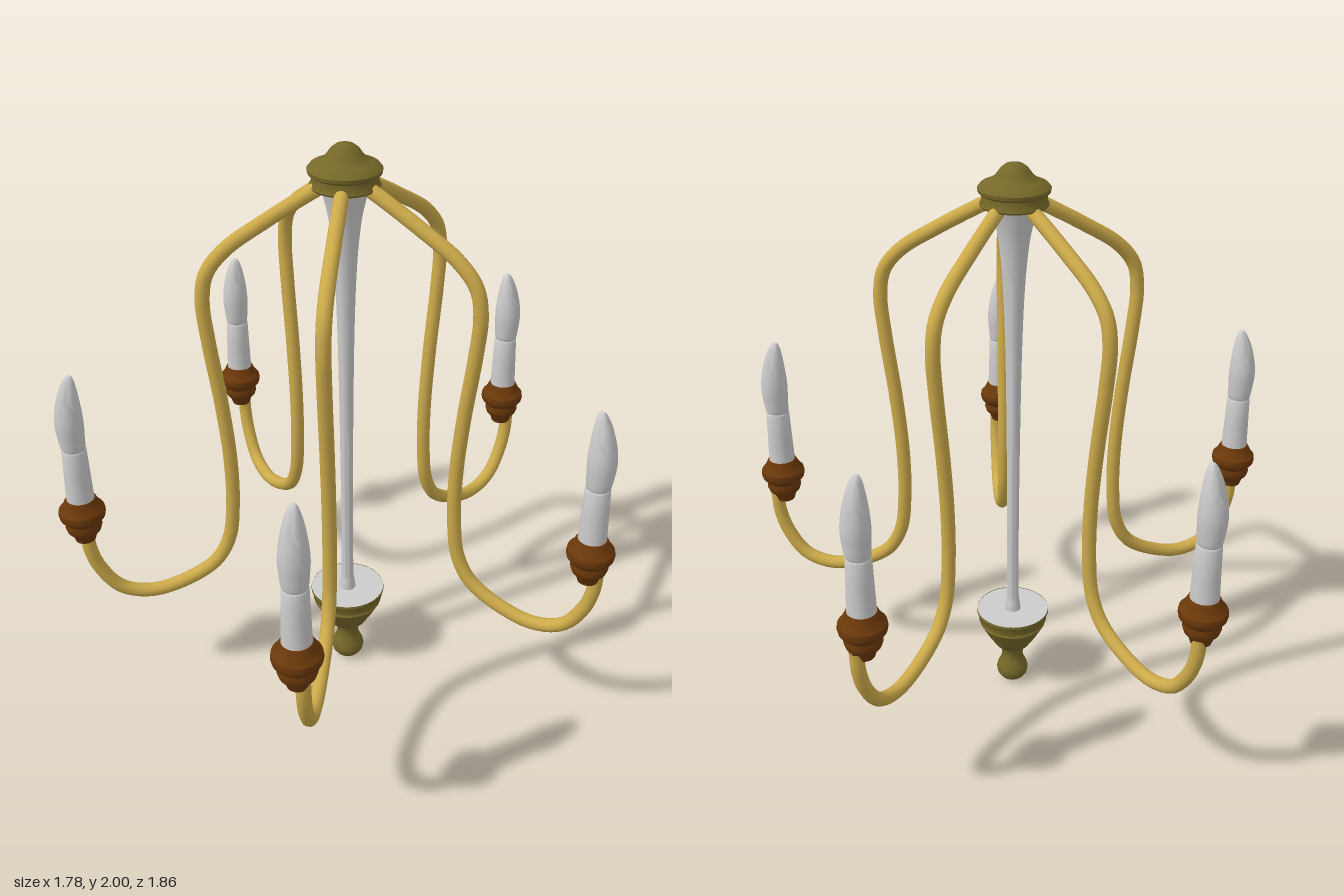
import * as THREE from 'three';
import { toCreasedNormals } from 'three/addons/utils/BufferGeometryUtils.js';

const mat = (color) => new THREE.MeshStandardMaterial({ color, side: THREE.DoubleSide });
const grey = mat(0xcccccc), gold = mat(0xccaa4a), olive = mat(0x766829), brown = mat(0x6b380a);

// Turned part from [radius, height] pairs, listed bottom to top
function turned(name, profile, material, sides = 32) {
  const points = profile.map(([r, y]) => new THREE.Vector2(r, y));
  const geometry = toCreasedNormals(new THREE.LatheGeometry(points, sides), 0.6);
  const mesh = new THREE.Mesh(geometry, material);
  mesh.name = name;
  return mesh;
}

// Smooth version: a spline is drawn through the profile first
function smoothProfile(profile, n = 24) {
  const spline = new THREE.SplineCurve(profile.map(([r, y]) => new THREE.Vector2(r, y)));
  return spline.getPoints(n).map((p) => [Math.max(p.x, 0), p.y]);
}

// S-shaped arm in the plane of its spoke, [distance from axis, height]
const armPath = new THREE.CatmullRomCurve3([
  [0.07, 1.872], [0.13, 1.84], [0.25, 1.77], [0.38, 1.685], [0.442, 1.61], [0.46, 1.52], [0.45, 1.38],
  [0.42, 1.14], [0.402, 0.92], [0.403, 0.74], [0.422, 0.6], [0.475, 0.505],
  [0.59, 0.435], [0.71, 0.407], [0.81, 0.437], [0.875, 0.525], [0.902, 0.61], [0.907, 0.69],
].map(([r, y]) => new THREE.Vector3(r, y, 0)));

function createCandle() {
  const candle = new THREE.Group();
  candle.name = 'candle';
  candle.add(turned('candleCup', [
    [0, 0.66], [0.034, 0.66], [0.042, 0.685], [0.056, 0.7], [0.062, 0.718], [0.058, 0.736],
    [0.066, 0.744], [0.076, 0.756], [0.079, 0.77], [0.077, 0.785], [0.066, 0.797],
    [0.058, 0.812], [0.05, 0.828], [0, 0.828],
  ], brown));
  candle.add(turned('candleStick', [[0.047, 0.82], [0.044, 0.92], [0.041, 1.018], [0.037, 1.024], [0, 1.024]], grey, 24));

  // Flame bulb, its tip leaning towards the axis
  const bulb = turned('flameBulb', smoothProfile([
    [0.037, 1.02], [0.041, 1.035], [0.045, 1.08], [0.047, 1.12], [0.043, 1.17],
    [0.032, 1.23], [0.019, 1.272], [0.009, 1.29], [0, 1.293],
  ]), grey, 24);
  const pos = bulb.geometry.attributes.position;
  for (let i = 0; i < pos.count; i++) {
    const t = (pos.getY(i) - 1.02) / 0.27;
    pos.setX(i, pos.getX(i) + 0.025 * t * (1 - t) - 0.013 * t * t);
  }
  candle.add(bulb);
  return candle;
}

export function createModel() {
  const model = new THREE.Group();
  model.name = 'chandelier';

  // Central column
  const column = new THREE.Group();
  column.name = 'column';
  column.position.x = -0.065;
  column.add(turned('canopy', [
    [0.108, 1.862], [0.112, 1.868], [0.106, 1.88], [0.105, 1.9], [0.116, 1.908], [0.118, 1.92],
    [0.108, 1.932], [0.085, 1.942], [0.066, 1.953], [0.054, 1.968], [0.044, 1.982],
    [0.028, 1.994], [0, 2],
  ], olive));
  column.add(turned('canopyUnderside', [[0, 1.866], [0.108, 1.866]], grey));
  column.add(turned('stem', smoothProfile([
    [0.03, 0.315], [0.027, 0.345], [0.022, 0.4], [0.021, 0.7], [0.024, 1.1], [0.029, 1.4],
    [0.037, 1.6], [0.05, 1.74], [0.066, 1.82], [0.078, 1.866],
  ], 40), grey, 24));
  column.add(turned('lowerCup', [
    [0, 0], [0.025, 0.004], [0.043, 0.015], [0.055, 0.032], [0.059, 0.052], [0.054, 0.072],
    [0.043, 0.095], [0.039, 0.115], [0.041, 0.14], [0.05, 0.158], [0.064, 0.166],
    [0.095, 0.215], [0.122, 0.265], [0.118, 0.273], [0.126, 0.28], [0.128, 0.305], [0.133, 0.312], [0.132, 0.322],
  ], olive));
  column.add(turned('cupPlate', [[0.132, 0.32], [0, 0.32]], grey));
  model.add(column);

  // Five spokes, each an arm and its candle
  for (let i = 0; i < 5; i++) {
    const angle = (i * Math.PI * 2) / 5;
    const arm = new THREE.Mesh(new THREE.TubeGeometry(armPath, 90, 0.024, 14), gold);
    arm.name = 'arm';
    arm.position.set(-0.07, 0, 0.008);
    arm.rotation.y = angle;
    model.add(arm);

    const candle = createCandle();
    candle.position.set(-0.086 + 0.895 * Math.cos(angle), 0, -0.895 * Math.sin(angle));
    candle.rotation.y = angle;
    model.add(candle);
  }
  return model;
}
